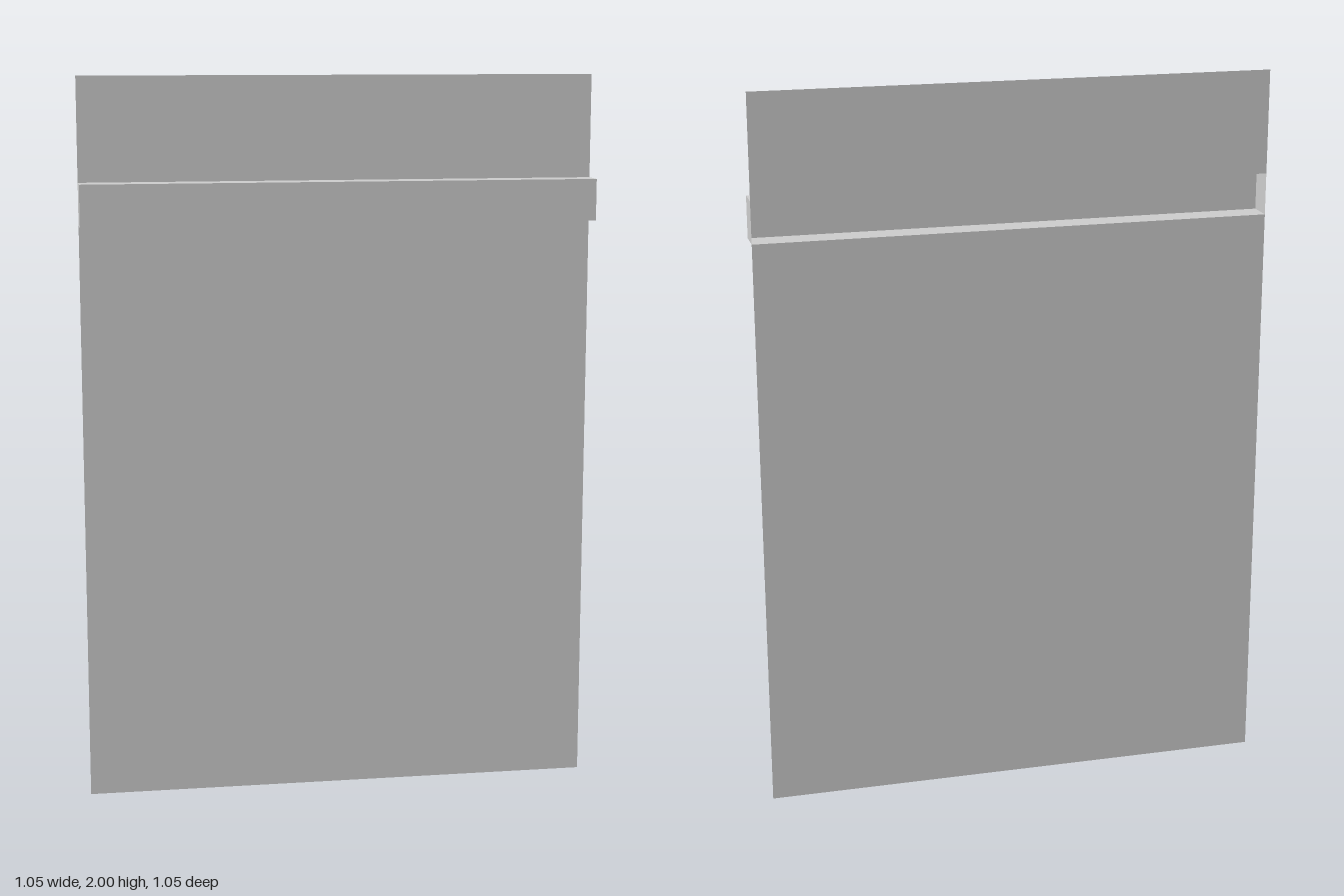
import * as THREE from 'three';

const WIDTH = 1.414;
const DEPTH = 0.074;
const HEIGHT = 2;
const LEDGE_BOTTOM = 1.603;
const LEDGE_TOP = 1.717;

export function createModel() {
  const model = new THREE.Group();
  const material = new THREE.MeshStandardMaterial({ color: 0xcccccc, side: THREE.DoubleSide });

  // Zero-thickness rectangle, placed and turned
  function sheet(name, w, h, [x, y, z], rx = 0, ry = 0) {
    const mesh = new THREE.Mesh(new THREE.PlaneGeometry(w, h), material);
    mesh.name = name;
    mesh.position.set(x, y, z);
    mesh.rotation.set(rx, ry, 0);
    return mesh;
  }

  const back = -DEPTH / 2;
  const ledgeHeight = LEDGE_TOP - LEDGE_BOTTOM;
  const ledgeMid = (LEDGE_TOP + LEDGE_BOTTOM) / 2;

  // Wall sheet, interrupted where the ledge bulges out
  const wall = new THREE.Group();
  wall.name = 'wallPanel';
  wall.add(
    sheet('lowerPanel', WIDTH, LEDGE_BOTTOM, [0, LEDGE_BOTTOM / 2, back]),
    sheet('upperPanel', WIDTH, HEIGHT - LEDGE_TOP, [0, (HEIGHT + LEDGE_TOP) / 2, back])
  );

  // Hollow ledge, open at the back
  const ledge = new THREE.Group();
  ledge.name = 'ledge';
  ledge.add(
    sheet('ledgeFront', WIDTH, ledgeHeight, [0, ledgeMid, -back]),
    sheet('ledgeTop', WIDTH, DEPTH, [0, LEDGE_TOP, 0], -Math.PI / 2),
    sheet('ledgeUnderside', WIDTH, DEPTH, [0, LEDGE_BOTTOM, 0], Math.PI / 2)
  );
  for (const side of [-1, 1]) {
    ledge.add(sheet(side > 0 ? 'ledgeLeftEnd' : 'ledgeRightEnd', DEPTH, ledgeHeight,
      [side * WIDTH / 2, ledgeMid, 0], 0, side * Math.PI / 2));
  }

  // The whole wall stands on the diagonal
  model.add(wall, ledge);
  model.rotation.y = -Math.PI / 4;
  const root = new THREE.Group();
  root.name = 'ledgedWall';
  root.add(model);
  return root;
}
